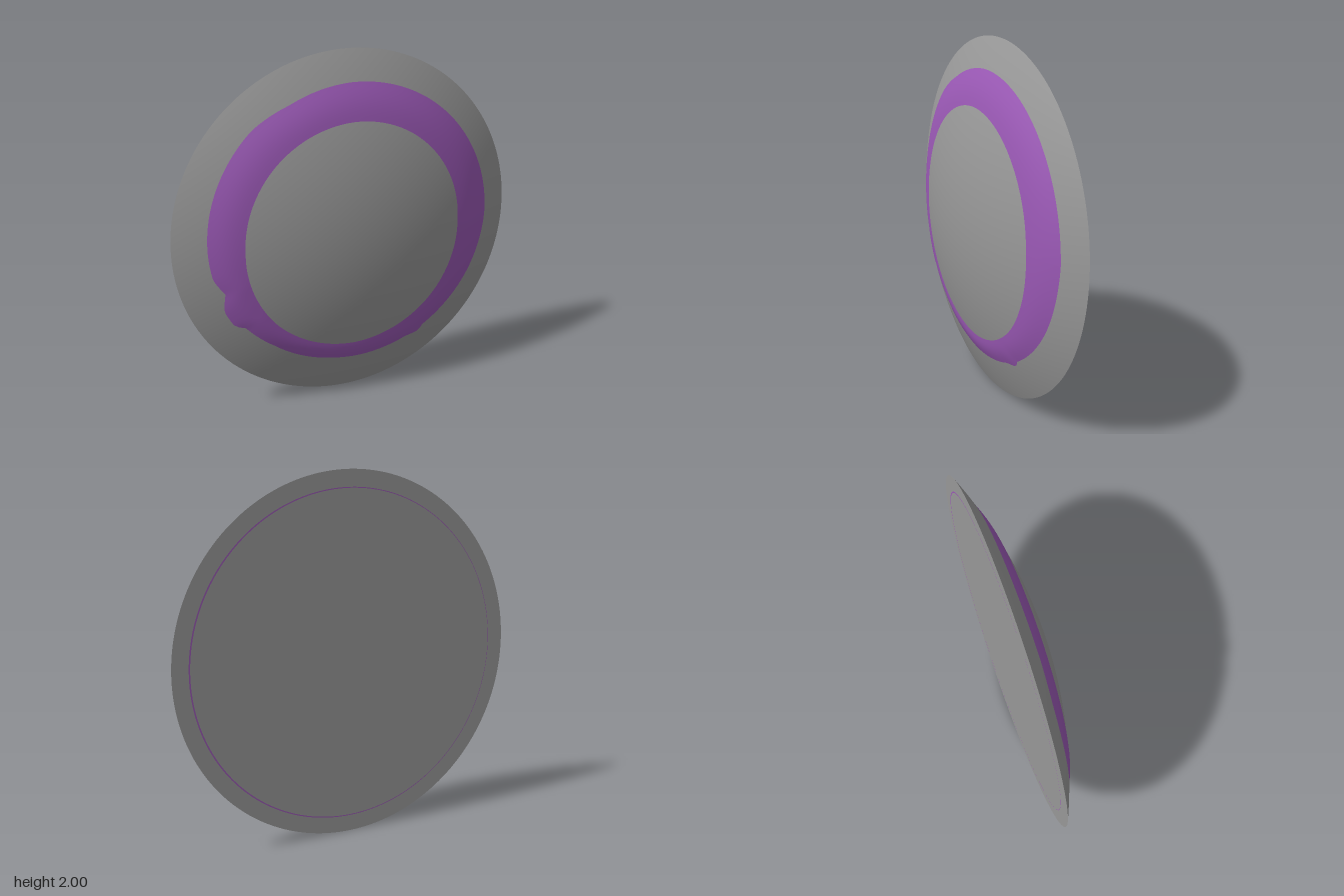
import * as THREE from 'three';

const DOME_RADIUS = 2.363; // sphere the shallow dome is cut from
const FRONT_Z = 0.111, BACK_Z = -0.111, SEGMENTS = 180;

// Edge radii of the painted band as [degrees, radius], counterclockwise from +x
const OUTER = [[0, 0.845], [45, 0.84], [90, 0.834], [115, 0.825], [131, 0.843], [150, 0.835],
  [180, 0.823], [191, 0.817], [198, 0.782], [205, 0.828], [213, 0.828], [216, 0.79], [232, 0.77],
  [259, 0.764], [283, 0.778], [295, 0.788], [301, 0.818], [304, 0.797], [315, 0.807], [333, 0.825], [360, 0.845]];
const INNER = [[0, 0.626], [45, 0.63], [90, 0.637], [135, 0.638], [180, 0.636], [225, 0.658],
  [270, 0.663], [315, 0.65], [360, 0.626]];

function radiusAt(table, degrees) {
  const i = Math.max(1, table.findIndex(([a]) => a >= degrees));
  const [a0, r0] = table[i - 1], [a1, r1] = table[i];
  return r0 + (r1 - r0) * (degrees - a0) / (a1 - a0);
}

const domeZ = (r) => FRONT_Z - DOME_RADIUS + Math.sqrt(DOME_RADIUS ** 2 - r * r);

// Zone of the dome between two edge curves, optionally bulging outward mid-zone
function domeZone(innerEdge, outerEdge, rows, bulge = 0) {
  const positions = [], normals = [], index = [], normal = new THREE.Vector3();
  for (let j = 0; j <= rows; j++) {
    for (let i = 0; i <= SEGMENTS; i++) {
      const degrees = i * 360 / SEGMENTS, angle = THREE.MathUtils.degToRad(degrees);
      const t = j / rows;
      const r = THREE.MathUtils.lerp(innerEdge(degrees), outerEdge(degrees), t);
      const x = r * Math.cos(angle), y = r * Math.sin(angle), z = domeZ(r);
      positions.push(x, y, z + bulge * Math.sin(Math.PI * t));
      normal.set(x, y, z - FRONT_Z + DOME_RADIUS).normalize();
      normals.push(normal.x, normal.y, normal.z);
      if (j < rows && i < SEGMENTS) {
        const a = j * (SEGMENTS + 1) + i, b = a + SEGMENTS + 1;
        index.push(a, b, b + 1, a, b + 1, a + 1);
      }
    }
  }
  const geometry = new THREE.BufferGeometry();
  geometry.setAttribute('position', new THREE.Float32BufferAttribute(positions, 3));
  geometry.setAttribute('normal', new THREE.Float32BufferAttribute(normals, 3));
  geometry.setIndex(index);
  if (bulge) geometry.computeVertexNormals();
  return geometry;
}

export function createModel() {
  const grey = new THREE.MeshStandardMaterial({ name: 'grey', color: 0x999999 });
  const purple = new THREE.MeshStandardMaterial({ name: 'purple', color: 0x9b59b6 });
  const model = new THREE.Group();
  model.name = 'shield';

  const add = (name, geometry, material, z = 0) => {
    const mesh = new THREE.Mesh(geometry, material);
    mesh.name = name;
    mesh.position.set(0, 1, z);
    model.add(mesh);
    return mesh;
  };

  // Domed front: centre, painted band and rim share their edges
  const inner = (d) => radiusAt(INNER, d), outer = (d) => radiusAt(OUTER, d);
  add('domeCentre', domeZone(() => 0, inner, 16), grey);
  add('paintedBand', domeZone(inner, outer, 8, 0.006), purple);
  add('domeRim', domeZone(outer, () => 1, 8), grey);

  // Flat back
  add('backPlate', new THREE.CircleGeometry(1, SEGMENTS), grey, BACK_Z).rotation.y = Math.PI;

  // Hairline ring on the back, slightly wider on the left
  const line = new THREE.RingGeometry(0.903, 0.909, SEGMENTS, 1);
  const p = line.attributes.position;
  for (let i = 0; i < p.count; i++) {
    const x = p.getX(i), y = p.getY(i), r = Math.hypot(x, y);
    if (r > 0.906) {
      const scale = (0.905 + 0.003 * (1 - x)) / r; // local -x becomes the model's left
      p.setXY(i, x * scale, y * scale);
    }
  }
  add('backLine', line, purple, BACK_Z - 0.003).rotation.y = Math.PI;

  return model;
}
